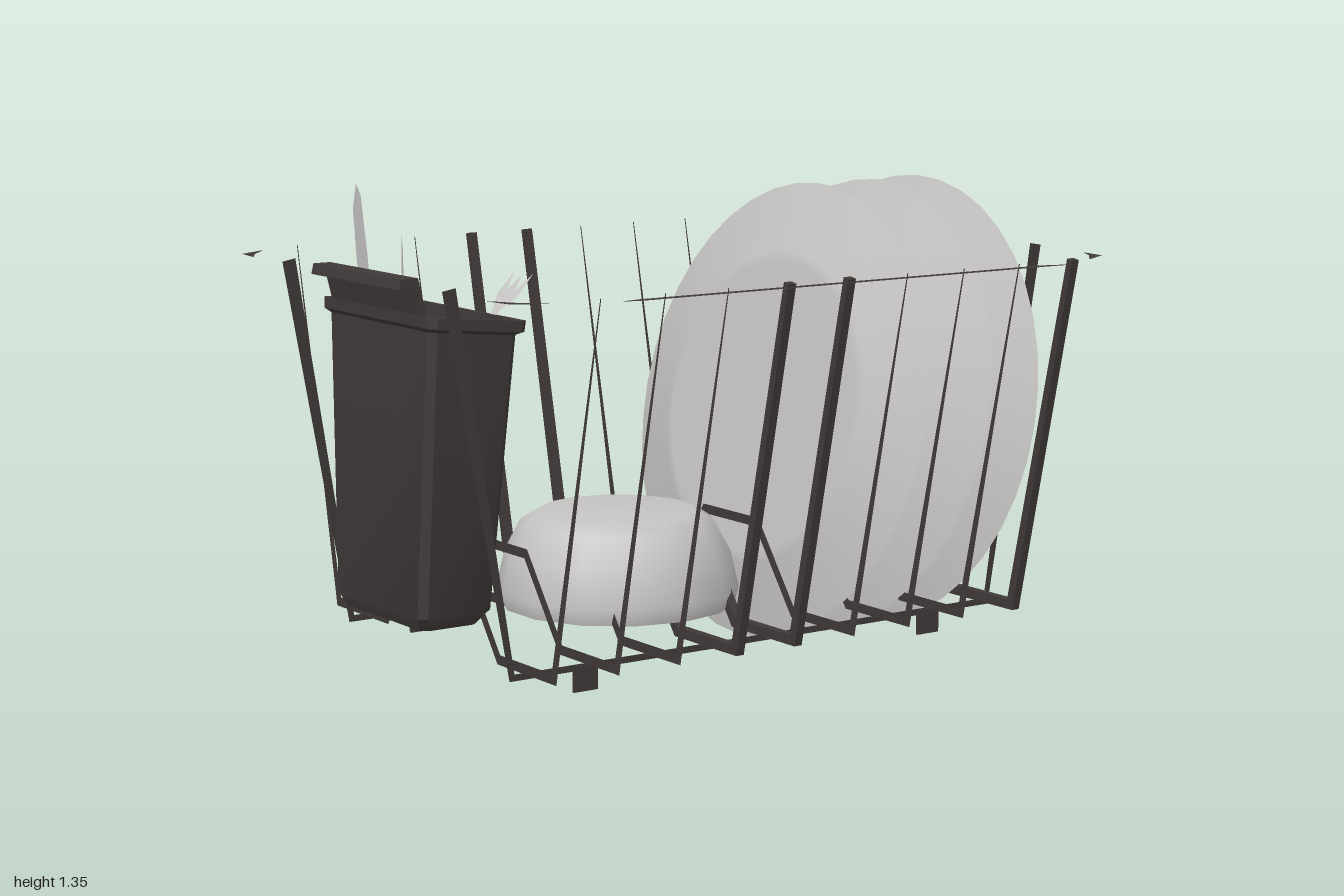
import * as THREE from 'three';
import { toCreasedNormals } from 'three/addons/utils/BufferGeometryUtils.js';

const dark = new THREE.MeshStandardMaterial({ color: 0x403a39, side: THREE.DoubleSide });
dark.name = 'dark coating';
const pale = new THREE.MeshStandardMaterial({ color: 0xc6c4c3, side: THREE.DoubleSide });
pale.name = 'pale ceramic and steel';

// Flat strip following a 2D path, with a width at every point
function stripShape(path, widths) {
  const pts = path.map(p => new THREE.Vector2(...p));
  const left = [], right = [];
  pts.forEach((p, i) => {
    const a = pts[Math.max(i - 1, 0)], b = pts[Math.min(i + 1, pts.length - 1)];
    const d1 = (i ? p.clone().sub(a) : b.clone().sub(p)).normalize();
    const d2 = (i < pts.length - 1 ? b.clone().sub(p) : d1.clone()).normalize();
    const t = d1.clone().add(d2).normalize();
    const n = new THREE.Vector2(-t.y, t.x).multiplyScalar(widths[i] / 2 / Math.max(t.dot(d1), 0.5));
    left.push(p.clone().add(n));
    right.unshift(p.clone().sub(n));
  });
  return new THREE.Shape([...left, ...right]);
}

function strip(path, widths, depth = 0) {
  const shape = stripShape(path, widths);
  if (!depth) return new THREE.ShapeGeometry(shape);
  return new THREE.ExtrudeGeometry(shape, { depth, bevelEnabled: false }).translate(0, 0, -depth / 2);
}

export function createModel() {
  const model = new THREE.Group();
  model.name = 'dishRack';
  const add = (name, geometry, material, parent = model) => {
    const mesh = new THREE.Mesh(geometry, material);
    mesh.name = name;
    parent.add(mesh);
    return mesh;
  };

  // Wire basket
  const basket = new THREE.Group();
  basket.name = 'wireBasket';
  model.add(basket);

  // Cross wires with a raised hump; three sturdy ones, the rest thin and tapering
  const hoop = [[0.765, 1.13], [0.545, 0.135], [0.28, 0.135], [0.11, 0.365],
    [-0.14, 0.365], [-0.305, 0.135], [-0.575, 0.135], [-0.785, 1.13]];
  for (let i = 0; i < 9; i++) {
    const sturdy = [3, 4, 8].includes(i);
    const tip = sturdy ? 0.02 : 0.004, w = 0.027;
    const wire = add('crossWire', strip(hoop, [tip, w, w, w, w, w, w, tip], sturdy ? 0.025 : 0), dark, basket);
    wire.rotation.y = -Math.PI / 2;
    wire.position.x = -0.755 + i * 0.192;
  }

  // Long runners turned up at both ends, each with two feet
  for (const z of [0.4, -0.44]) {
    const path = [[-0.965, 1.13], [-0.79, 0.115], [0.805, 0.115], [0.97, 1.13]];
    add('runnerWire', strip(path, [0.04, 0.018, 0.018, 0.04]), dark, basket).position.z = z;
    for (const x of [-0.565, 0.59]) {
      add('foot', new THREE.BoxGeometry(0.075, 0.07, 0.008), dark, basket).position.set(x, 0.085, z);
    }
  }

  // Top front bar and curved corner pieces, lying flat
  const bar = add('topFrontBar', strip([[-0.7, 0], [-0.64, 0], [0.67, 0], [0.77, 0.015]],
    [0.004, 0.03, 0.03, 0.004]), dark, basket);
  bar.rotation.x = Math.PI / 2;
  bar.position.set(0, 1.12, 0.775);
  for (const sx of [-1, 1]) for (const sz of [-1, 1]) {
    const cx = sx < 0 ? -0.965 : 0.99, cz = sz < 0 ? -0.65 : 0.58;
    const path = [[cx, cz], [cx - sx * 0.025, cz + sz * 0.075], [cx - sx * 0.1, cz + sz * 0.135]];
    const corner = add('topCorner', strip(path, [0.004, 0.035, 0.004]), dark, basket);
    corner.rotation.x = Math.PI / 2;
    corner.position.y = 1.12;
  }

  // Three leaning plates: bottom edge x, top edge x
  for (const [x0, x1] of [[0.23, 0.51], [0.45, 0.73], [0.65, 0.88]]) {
    const profile = [[0, -0.065], [0.42, -0.065], [0.45, -0.06], [0.655, 0]].map(p => new THREE.Vector2(...p));
    const plate = add('plate', new THREE.LatheGeometry(profile, 40), pale);
    plate.rotation.z = -Math.PI / 2 - Math.atan2(x1 - x0, 1.29);
    plate.position.set((x0 + x1) / 2, 0.657, -0.015);
  }

  // Upturned bowl
  const bowlProfile = [[0.325, 0.165], [0.338, 0.21], [0.315, 0.31], [0.27, 0.395], [0.22, 0.425], [0, 0.428]]
    .map(p => new THREE.Vector2(...p));
  add('bowl', new THREE.LatheGeometry(bowlProfile, 14), pale).position.set(-0.18, 0, -0.02);

  // Upturned tumbler leaning back
  const tumbler = new THREE.Group();
  tumbler.name = 'tumbler';
  tumbler.position.set(-0.588, 0.595, -0.49);
  tumbler.rotation.x = -0.29;
  model.add(tumbler);
  add('tumblerWall', new THREE.CylinderGeometry(0.13, 0.185, 0.7, 14, 1, true), dark, tumbler);
  const base = add('tumblerBase', new THREE.CircleGeometry(0.13, 14), dark, tumbler);
  base.rotation.x = -Math.PI / 2;
  base.position.y = 0.35;

  // Cutlery holder: loops of a chamfered rectangle, outside up then inside down
  const holder = new THREE.Group();
  holder.name = 'cutleryHolder';
  model.add(holder);
  const levels = [ // y, x0, x1, z0, z1
    [0.22, -0.86, -0.82, -0.05, 0.02], [0.215, -0.93, -0.755, -0.23, 0.19], [0.25, -0.945, -0.725, -0.25, 0.21],
    [0.99, -0.93, -0.665, -0.29, 0.25], [1.0, -0.94, -0.65, -0.31, 0.27], [1.03, -0.94, -0.645, -0.31, 0.27],
    [1.03, -0.925, -0.665, -0.285, 0.245], [0.27, -0.925, -0.75, -0.23, 0.19], [0.27, -0.86, -0.82, -0.05, 0.02]];
  const pos = [], index = [];
  levels.forEach(([y, x0, x1, z0, z1], k) => {
    const c = 0.02;
    const ring = [[x0 + c, z0], [x0, z0 + c], [x0, z1 - c], [x0 + c, z1],
      [x1 - c, z1], [x1, z1 - c], [x1, z0 + c], [x1 - c, z0]];
    ring.forEach(([x, z], i) => {
      pos.push(x, y - (y > 0.9 ? 0.1 * (x + 0.8) : 0), z);
      if (k === 0) return;
      const a = (k - 1) * 8 + i, b = (k - 1) * 8 + (i + 1) % 8;
      index.push(a, b, b + 8, a, b + 8, a + 8);
    });
  });
  const body = new THREE.BufferGeometry();
  body.setAttribute('position', new THREE.Float32BufferAttribute(pos, 3));
  body.setIndex(index);
  add('holderBody', toCreasedNormals(body, 0.5), dark, holder);
  // Hook that hangs over the basket rim
  const hook = strip([[-0.925, 1.03], [-0.95, 1.13], [-0.985, 1.13], [-0.99, 1.11]], [0.02, 0.02, 0.02, 0.02], 0.46);
  add('holderHook', hook, dark, holder).position.z = -0.02;

  // Cutlery: a flat outline stood along the line from its foot to its tip
  function utensil(name, outline, foot, tip, turn) {
    const a = new THREE.Vector3(...foot), b = new THREE.Vector3(...tip);
    const shape = new THREE.Shape(outline.map(p => new THREE.Vector2(...p)));
    const geometry = new THREE.ShapeGeometry(shape).rotateY(turn).scale(1, a.distanceTo(b), 1);
    const mesh = add(name, geometry, pale);
    mesh.position.copy(a);
    mesh.quaternion.setFromUnitVectors(new THREE.Vector3(0, 1, 0), b.sub(a).normalize());
  }
  const knife = [[-0.015, 0], [0.015, 0], [0.03, 0.8], [0.028, 0.93], [0, 1], [-0.02, 0.97], [-0.03, 0.8]];
  const spoon = [[-0.01, 0], [0.01, 0], [0.012, 0.75], [0.045, 0.85], [0.04, 0.95], [0, 1],
    [-0.04, 0.95], [-0.045, 0.85], [-0.012, 0.75]];
  const fork = [[-0.015, 0], [0.015, 0], [0.018, 0.75], [0.05, 0.85], [0.045, 1], [0.02, 0.88],
    [0, 0.98], [-0.02, 0.88], [-0.045, 1], [-0.05, 0.85], [-0.018, 0.75]];
  utensil('knife', knife, [-0.88, 0.4, -0.08], [-0.95, 1.36, -0.09], Math.PI / 2);
  utensil('fork', fork, [-0.9, 0.75, 0.1], [-0.555, 1.12, 0.1], Math.PI / 2);
  utensil('spoon', spoon, [-0.8, 0.4, -0.05], [-0.87, 1.09, -0.2], 0.6);
  utensil('tallSpoon', spoon, [-0.8, 0.4, -0.1], [-0.74, 1.2, -0.22], 1.1);

  return model;
}
